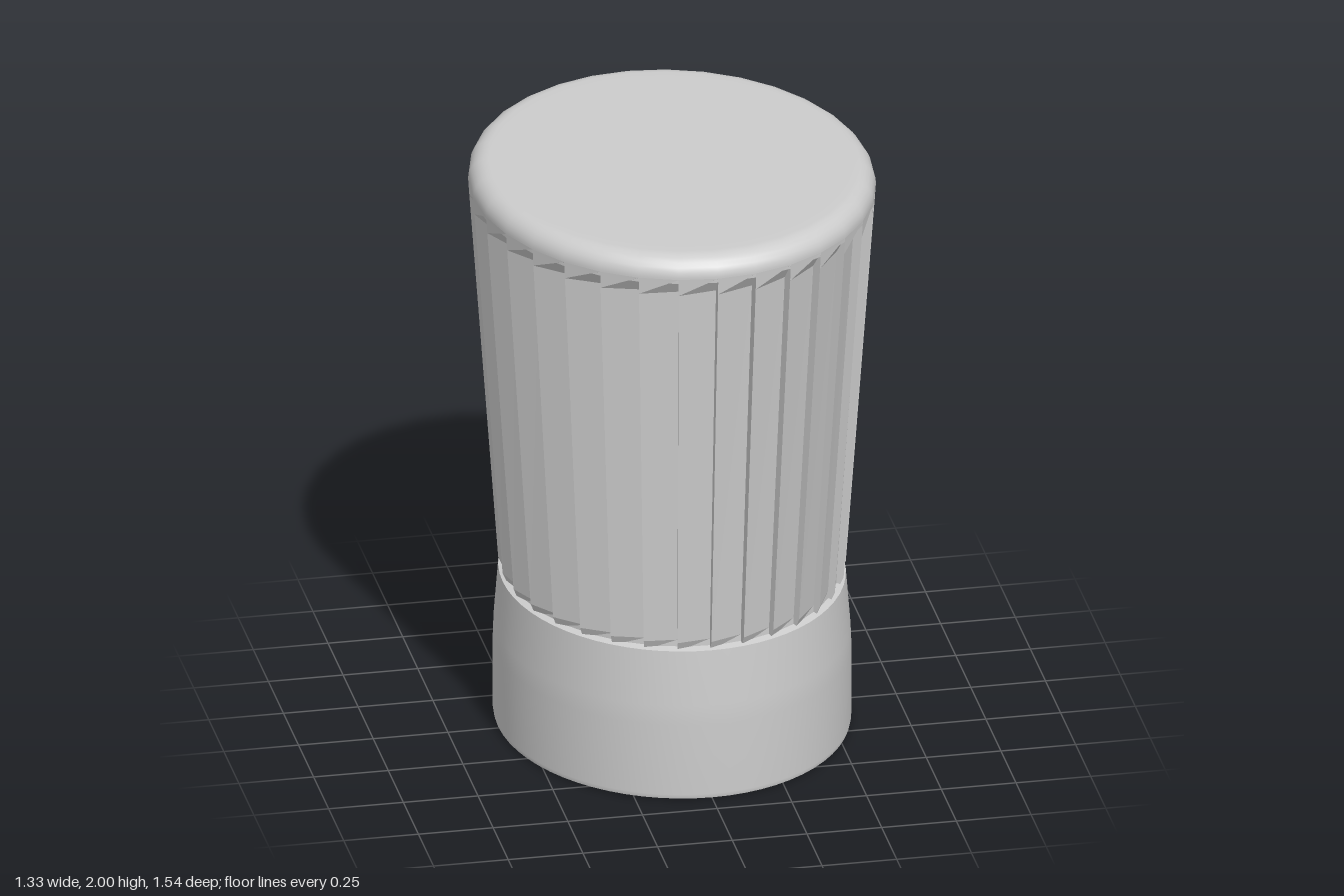
import * as THREE from 'three';

const DEPTH = 1.156; // oval: depth relative to width
const PLEATS = 32;

// Oval surface of revolution from [radius, y] points
function oval(name, pts, material, segments = 64) {
  const geo = new THREE.LatheGeometry(pts.map(([r, y]) => new THREE.Vector2(r, y)), segments);
  geo.scale(1, 1, DEPTH);
  const mesh = new THREE.Mesh(geo, material);
  mesh.name = name;
  return mesh;
}

// Flat-sided sawtooth pleats: each starts on a ridge and sinks behind the next one
function pleats(material) {
  // [y, ridge radius, fold depth]
  const rows = [[0.52, 0.55, 0.006], [0.56, 0.567, 0.024], [1.87, 0.661, 0.03], [1.93, 0.665, 0]];
  const pos = [];
  const point = (i, row, sunk) => {
    const a = (i / PLEATS) * Math.PI * 2;
    const r = row[1] - (sunk ? row[2] : 0);
    return [r * Math.sin(a), row[0], r * Math.cos(a) * DEPTH];
  };
  const quad = (a, b, c, d) => pos.push(...a, ...b, ...c, ...a, ...c, ...d);
  for (let i = 0; i < PLEATS; i++) {
    for (let k = 0; k < rows.length - 1; k++) {
      const lo = rows[k], hi = rows[k + 1];
      // broad face of the pleat
      quad(point(i, lo, false), point(i + 1, lo, true), point(i + 1, hi, true), point(i, hi, false));
      // narrow step up to the ridge
      quad(point(i, lo, true), point(i, lo, false), point(i, hi, false), point(i, hi, true));
    }
  }
  const geo = new THREE.BufferGeometry();
  geo.setAttribute('position', new THREE.Float32BufferAttribute(pos, 3));
  geo.computeVertexNormals();
  const mesh = new THREE.Mesh(geo, material);
  mesh.name = 'pleatedCrown';
  return mesh;
}

export function createModel() {
  const cloth = new THREE.MeshStandardMaterial({ color: 0xcccccc });
  cloth.name = 'whiteCloth';
  const hat = new THREE.Group();
  hat.name = 'chefHat';

  // Pleated body and its softly rounded top
  hat.add(pleats(cloth));
  const top = [[0.664, 1.915], [0.665, 1.935]];
  for (let i = 1; i <= 6; i++) {
    const a = (i / 6) * Math.PI / 2;
    top.push([0.6 + 0.065 * Math.cos(a), 1.935 + 0.065 * Math.sin(a)]);
  }
  top.push([0.56, 2], [0, 2]);
  hat.add(oval('roundedTop', top, cloth, PLEATS));

  // Headband: outside, bottom rim, inside and closed ceiling
  hat.add(oval('headband', [[0.582, 0.005], [0.585, 0.02], [0.585, 0.27], [0.582, 0.34], [0.567, 0.53]], cloth));
  hat.add(oval('headbandLip', [[0.567, 0.53], [0.53, 0.54]], cloth));
  hat.add(oval('bottomRim', [[0.527, 0.008], [0.54, 0], [0.572, 0], [0.582, 0.005]], cloth));
  hat.add(oval('innerWall', [[0.527, 0.33], [0.527, 0.008]], cloth));
  hat.add(oval('innerCeiling', [[0, 0.33], [0.527, 0.33]], cloth));

  return hat;
}
